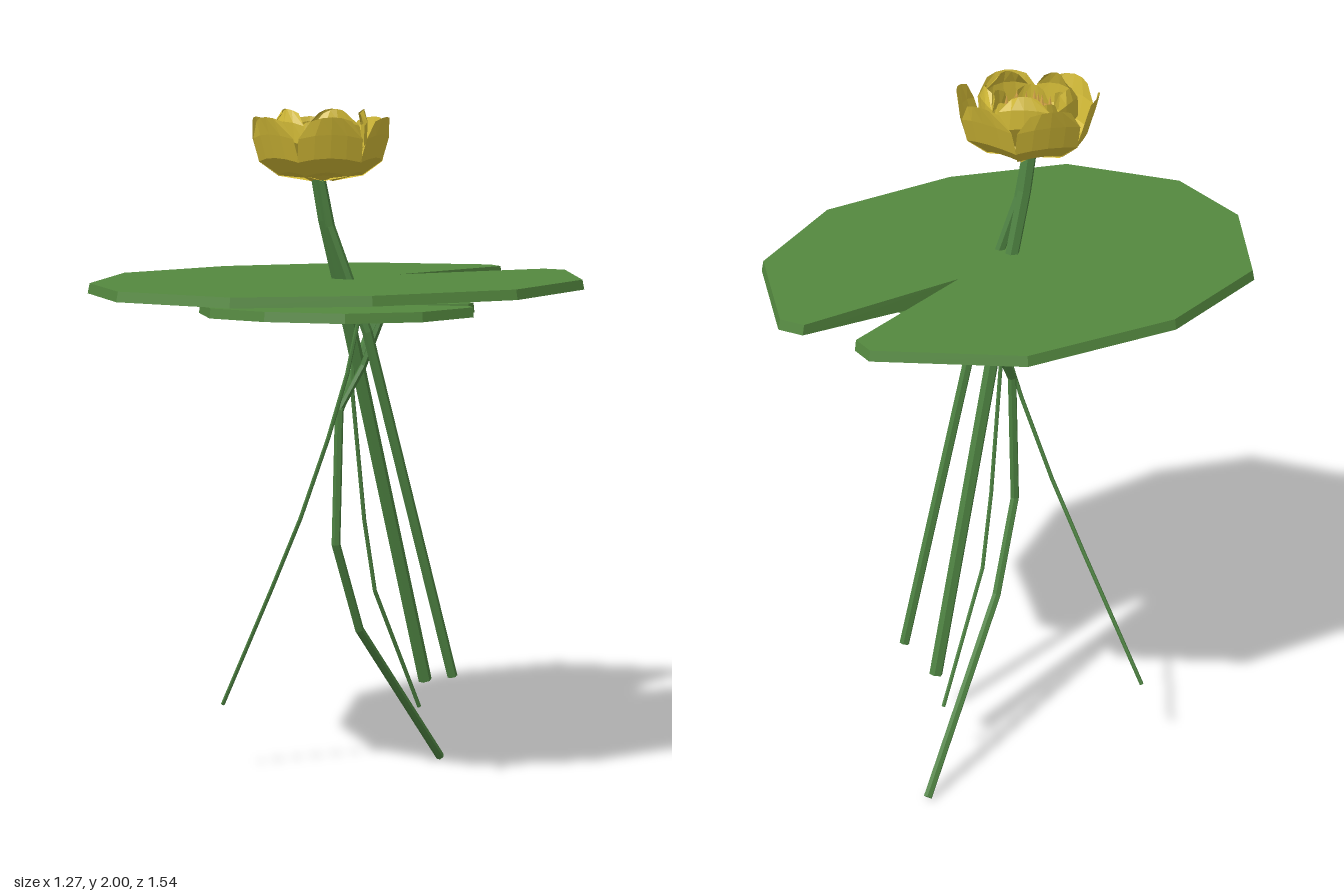
import * as THREE from 'three';

const mat = (name, color) => new THREE.MeshStandardMaterial({ name, color, side: THREE.DoubleSide });

// Faceted copy of a geometry
function facet(geo) {
  const g = geo.index ? geo.toNonIndexed() : geo;
  g.computeVertexNormals();
  return g;
}

// Surface through rows of points; every row has the same count
function skin(rows) {
  const n = rows[0].length, idx = [];
  for (let i = 0; i < rows.length - 1; i++)
    for (let j = 0; j < n - 1; j++) {
      const a = i * n + j, b = a + n;
      idx.push(a, a + 1, b, b, a + 1, b + 1);
    }
  const g = new THREE.BufferGeometry();
  g.setAttribute('position', new THREE.Float32BufferAttribute(rows.flat(2), 3));
  g.setIndex(idx);
  return facet(g);
}

// Straight-segment path for stems
class Polyline extends THREE.Curve {
  constructor(points) {
    super();
    this.points = points.map((p) => new THREE.Vector3(...p));
  }
  getPointAt(t) {
    return this.points[Math.round(t * (this.points.length - 1))].clone();
  }
  getPoint(t) {
    return this.getPointAt(t);
  }
  getTangentAt(t) {
    const i = Math.round(t * (this.points.length - 1)), last = this.points.length - 1;
    const a = this.points[Math.max(i - 1, 0)], b = this.points[Math.min(i + 1, last)];
    return b.clone().sub(a).normalize();
  }
}

export function createModel() {
  const model = new THREE.Group();
  const leafGreen = mat('leafGreen', 0x54883f);
  const stemGreen = mat('stemGreen', 0x4c8040);
  const yellow = mat('petalYellow', 0xd0b836);
  const amber = mat('centreAmber', 0xd2a445);

  const add = (parent, name, geo, material) => {
    const mesh = new THREE.Mesh(geo, material);
    mesh.name = name;
    parent.add(mesh);
    return mesh;
  };

  // Notched leaf outline (x, z), beginning at the tip of the notch
  const outline = [
    [-0.015, -0.25], [0.075, -0.75], [0.15, -0.765], [0.48, -0.51], [0.63, -0.11],
    [0.55, 0.33], [0.36, 0.65], [0.01, 0.76], [-0.295, 0.645], [-0.58, 0.33],
    [-0.63, -0.08], [-0.495, -0.515], [-0.17, -0.755], [-0.095, -0.73],
  ];

  // Leaf: flat top with a rim folded down, deepest at the notch tip
  function leaf(name, y, scale, turn) {
    const group = new THREE.Group();
    group.name = name;
    const shape = new THREE.Shape(outline.map(([x, z]) => new THREE.Vector2(x, -z)));
    add(group, name + 'Top', new THREE.ShapeGeometry(shape).rotateX(-Math.PI / 2), leafGreen);
    const loop = [...outline, outline[0]];
    const upper = loop.map(([x, z]) => [x, 0, z]);
    const lower = loop.map(([x, z], i) => {
      const tip = i === 0 || i === loop.length - 1;
      const flare = tip ? 1 : 1.008;
      return [x * flare, tip ? -0.055 : -0.028, z * flare];
    });
    add(group, name + 'Rim', skin([lower, upper]), leafGreen);
    group.position.y = y;
    group.scale.set(scale, 1, scale);
    group.rotation.y = turn;
    model.add(group);
  }
  leaf('floatingLeaf', 1.52, 1, 0);
  leaf('lowerLeaf', 1.447, 0.515, -Math.PI / 4);

  // Stems and roots
  function stem(name, radius, points) {
    const path = new Polyline(points);
    add(model, name, facet(new THREE.TubeGeometry(path, points.length - 1, radius, 6, false)), stemGreen);
    for (const t of [0, 1]) {
      const cap = add(model, name + 'End', new THREE.CircleGeometry(radius, 6), stemGreen);
      cap.position.copy(path.getPointAt(t));
      cap.lookAt(cap.position.clone().add(path.getTangentAt(t)));
    }
  }
  stem('flowerStem', 0.02, [[0, 1.83, 0.07], [0, 1.69, 0.04], [0.005, 1.37, -0.05], [0.008, 0.3, -0.34]]);
  stem('sideStem', 0.015, [[0.005, 1.82, 0.065], [0.015, 1.67, 0.035], [0.08, 1.37, -0.05], [0.152, 0.34, -0.32]]);
  stem('leafStalk', 0.013, [[-0.035, 1.48, -0.22], [0, 1.14, -0.012], [0, 0.75, 0],
    [-0.025, 0.48, -0.11], [-0.113, 0.012, -0.51]]);
  stem('lowerLeafStalk', 0.01, [[0.08, 1.4, -0.1], [0.04, 1.27, -0.07], [0, 1.14, -0.012]]);
  stem('longRoot', 0.006, [[0.075, 1.42, -0.025], [0.05, 1.25, 0], [0, 1.06, 0.03],
    [-0.09, 0.82, 0.06], [-0.2, 0.6, 0.08], [-0.397, 0.22, 0.115]]);
  stem('backRoot', 0.006, [[0, 1.42, -0.07], [0, 1.2, -0.06], [-0.01, 0.81, -0.115],
    [-0.02, 0.59, -0.165], [-0.03, 0.21, -0.35]]);

  // Flower: rings of cupped petals, each row is [radius, height, half width]
  const flower = new THREE.Group();
  flower.name = 'flower';
  flower.position.set(0, 0, 0.055);
  model.add(flower);

  function petalRing(name, count, turn, profile) {
    const rows = profile.map(([r, y, w]) =>
      [-1, -0.5, 0, 0.5, 1].map((s) => [s * w, y - 0.012 * s * s, r - 0.014 * s * s]));
    const geo = skin(rows);
    for (let i = 0; i < count; i++)
      add(flower, name, geo, yellow).rotation.y = turn + (i / count) * Math.PI * 2;
  }
  petalRing('outerPetal', 6, 0, [[0.03, 1.81, 0.03], [0.115, 1.825, 0.065], [0.165, 1.865, 0.09],
    [0.185, 1.93, 0.09], [0.198, 1.978, 0.058]]);
  petalRing('middlePetal', 5, 0, [[0.02, 1.825, 0.025], [0.09, 1.85, 0.065], [0.13, 1.91, 0.08],
    [0.132, 1.965, 0.07], [0.122, 2.0, 0.035]]);
  petalRing('innerPetal', 5, Math.PI / 5, [[0.02, 1.84, 0.02], [0.075, 1.86, 0.05],
    [0.1, 1.91, 0.058], [0.098, 1.965, 0.035]]);

  // Flower base and seed head
  const lathe = (pts, sides) =>
    facet(new THREE.LatheGeometry(pts.map(([r, y]) => new THREE.Vector2(r, y)), sides));
  add(flower, 'flowerBase', lathe([[0, 1.8], [0.04, 1.802], [0.07, 1.82], [0.06, 1.84]], 10), yellow);
  add(flower, 'seedHead', lathe([[0.05, 1.84], [0.08, 1.92], [0.05, 1.935], [0.02, 1.945], [0, 1.935]], 10), amber);
  for (let i = 0; i < 15; i++) {
    const a = (i / 15) * Math.PI * 2, r = i % 2 ? 0.06 : 0.042;
    add(flower, 'stamen', facet(new THREE.ConeGeometry(0.008, 0.035, 5)), amber)
      .position.set(Math.sin(a) * r, 1.945, Math.cos(a) * r);
  }
  return model;
}
